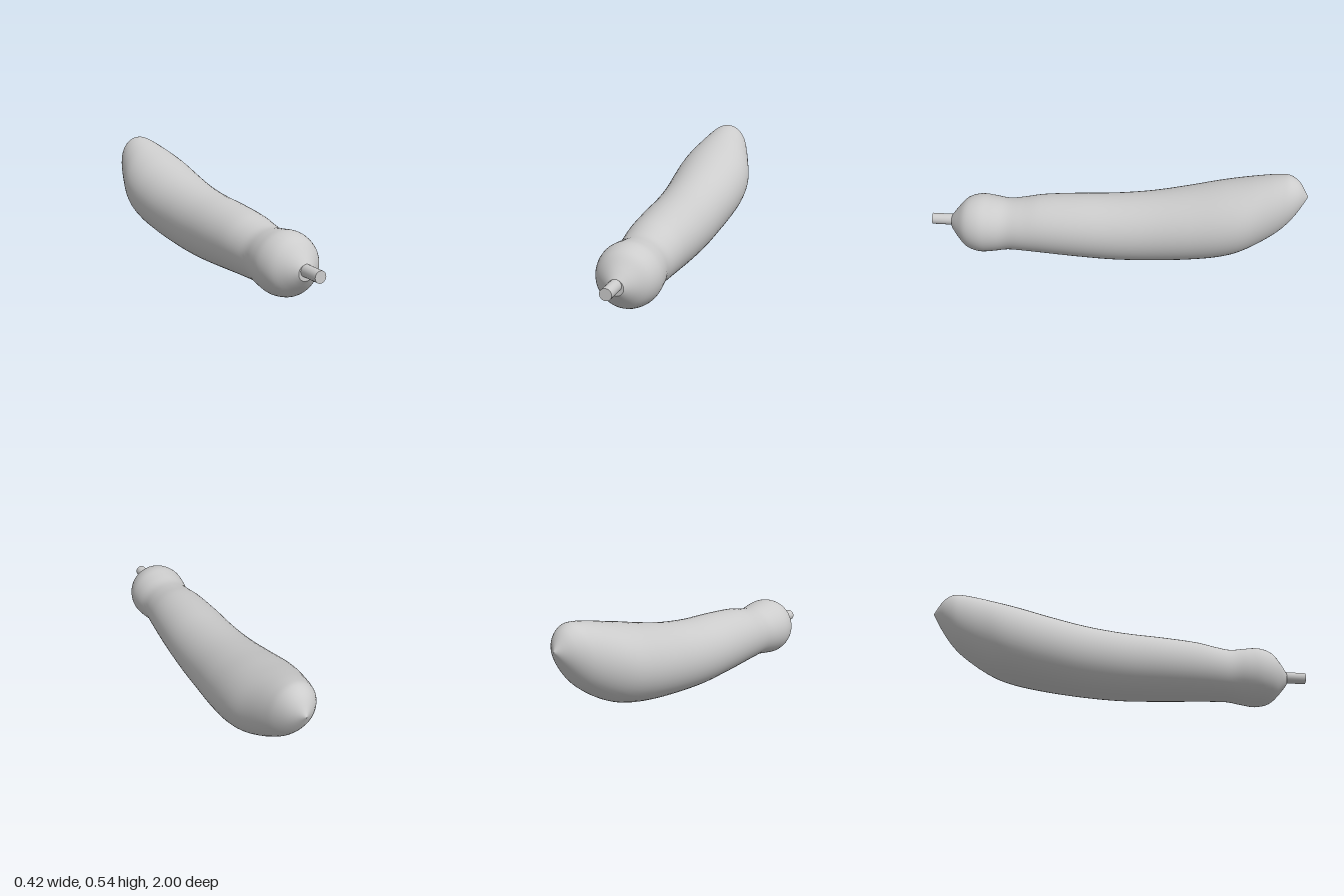
import * as THREE from 'three';

// Body stations from neck to tip: [z, top y, bottom y, half width]
const STATIONS = [
  [0.89, 0.2, 0.12, 0.04], [0.85, 0.25, 0.07, 0.09], [0.8, 0.3, 0.022, 0.138],
  [0.73, 0.32, 0.003, 0.16], [0.66, 0.313, 0.01, 0.156], [0.58, 0.303, 0.022, 0.143],
  [0.5, 0.313, 0.022, 0.15], [0.4, 0.333, 0.018, 0.161], [0.2, 0.35, 0.008, 0.175],
  [0, 0.362, 0.002, 0.182], [-0.2, 0.388, 0.012, 0.19], [-0.4, 0.43, 0.035, 0.205],
  [-0.55, 0.468, 0.062, 0.21], [-0.65, 0.492, 0.093, 0.2], [-0.75, 0.517, 0.145, 0.17],
  [-0.85, 0.537, 0.217, 0.135], [-0.9, 0.538, 0.27, 0.112], [-0.95, 0.508, 0.34, 0.072],
  [-1, 0.427, 0.425, 0.001],
];

// Smooth loft of elliptical rings through the stations
function loft(stations, steps, sides) {
  const curveOf = (k) => new THREE.CatmullRomCurve3(
    stations.map((s) => new THREE.Vector3(s[0], s[k], 0)), false, 'centripetal');
  const top = curveOf(1), bottom = curveOf(2), width = curveOf(3);
  const positions = [], indices = [];
  const rows = (stations.length - 1) * steps;
  for (let i = 0; i <= rows; i++) {
    const t = i / rows;
    const a = top.getPoint(t), b = bottom.getPoint(t), w = width.getPoint(t);
    for (let j = 0; j < sides; j++) {
      const angle = (j / sides) * Math.PI * 2;
      positions.push(
        w.y * Math.cos(angle),
        (a.y + b.y) / 2 + ((a.y - b.y) / 2) * Math.sin(angle),
        w.x);
      if (i < rows) {
        const p = i * sides + j, q = i * sides + ((j + 1) % sides);
        indices.push(p, p + sides, q, q, p + sides, q + sides);
      }
    }
  }
  const geometry = new THREE.BufferGeometry();
  geometry.setAttribute('position', new THREE.Float32BufferAttribute(positions, 3));
  geometry.setIndex(indices);
  geometry.computeVertexNormals();
  return geometry;
}

export function createModel() {
  const group = new THREE.Group();
  const grey = new THREE.MeshStandardMaterial({ color: 0xcccccc });
  grey.name = 'light grey';

  const add = (name, geometry, x, y, z) => {
    const mesh = new THREE.Mesh(geometry, grey);
    mesh.name = name;
    mesh.position.set(x, y, z);
    group.add(mesh);
    return mesh;
  };

  // Curved fruit body
  add('body', loft(STATIONS, 4, 48), 0, 0, 0);

  // Flat end at the neck
  add('neckCap', new THREE.CircleGeometry(0.04, 48), 0, 0.16, 0.89);

  // Short stem
  const stem = new THREE.CylinderGeometry(0.03, 0.03, 0.13, 24);
  stem.rotateX(Math.PI / 2);
  add('stem', stem, 0, 0.171, 0.935);

  return group;
}
